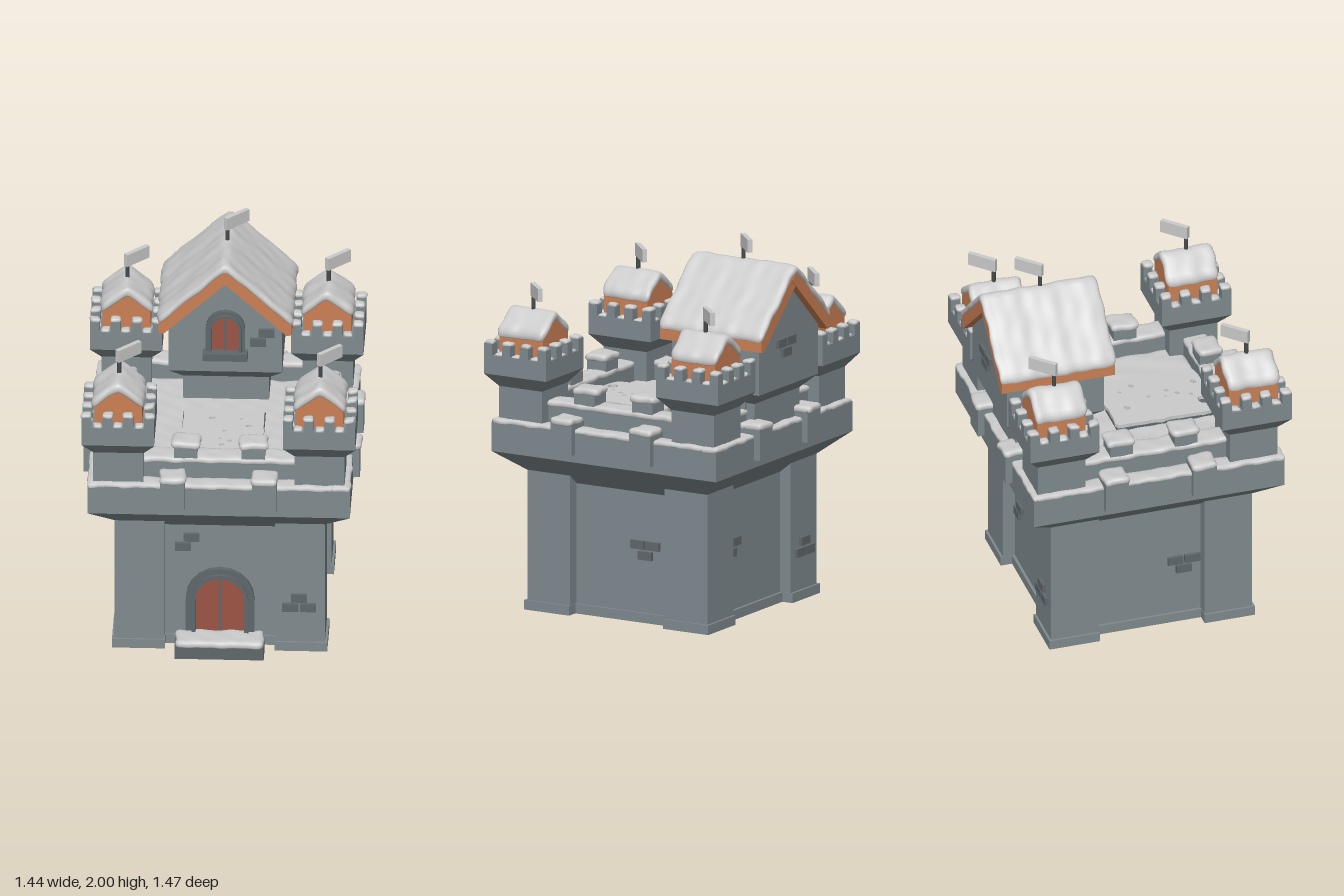
import * as THREE from 'three';
import { mergeVertices } from 'three/addons/utils/BufferGeometryUtils.js';

const mat = (color) => new THREE.MeshStandardMaterial({ color });
const SNOW = mat(0xcccccc);
const STONE = mat(0x7f8a8e);
const DARK = mat(0x60686c);
const WOOD = mat(0xcc8055);
const DOOR = mat(0x9c5544);
const POLE = mat(0x484c4e);

function add(parent, name, geo, material, x = 0, y = 0, z = 0) {
  const m = new THREE.Mesh(geo, material);
  m.name = name;
  m.position.set(x, y, z);
  parent.add(m);
  return m;
}

function group(parent, name, x = 0, y = 0, z = 0) {
  const g = new THREE.Group();
  g.name = name;
  g.position.set(x, y, z);
  parent.add(g);
  return g;
}

// Box given by its bottom and top heights
function block(parent, name, material, w, d, y0, y1, x = 0, z = 0) {
  return add(parent, name, new THREE.BoxGeometry(w, y1 - y0, d), material, x, (y0 + y1) / 2, z);
}

// Square corbel: half sizes at the bottom and at the top
function corbel(parent, name, bx, bz, tx, tz, y0, y1) {
  const geo = new THREE.BoxGeometry(2, y1 - y0, 2);
  const p = geo.attributes.position;
  for (let i = 0; i < p.count; i++) {
    const top = p.getY(i) > 0;
    p.setX(i, p.getX(i) * (top ? tx : bx));
    p.setZ(i, p.getZ(i) * (top ? tz : bz));
  }
  geo.computeVertexNormals();
  return add(parent, name, geo, STONE, 0, (y0 + y1) / 2);
}

// Soft lumpy slab of snow; slope bends it over a ridge along z
let seed = 0;
function snow(parent, name, w, d, y0, y1, x = 0, z = 0, slope = 0) {
  const h = y1 - y0, half = [w / 2, h / 2, d / 2];
  const seg = (s) => Math.max(4, Math.ceil(s / 0.02));
  let geo = new THREE.BoxGeometry(w, h, d, seg(w), 3, seg(d));
  geo.deleteAttribute('uv');
  geo.deleteAttribute('normal');
  geo = mergeVertices(geo);
  const p = geo.attributes.position, v = new THREE.Vector3(), c = new THREE.Vector3();
  const r = Math.min(0.025, ...half);
  seed += 1.7;
  for (let i = 0; i < p.count; i++) {
    v.fromBufferAttribute(p, i);
    c.set(...v.toArray().map((n, k) => THREE.MathUtils.clamp(n, r - half[k], half[k] - r)));
    v.sub(c).setLength(r).add(c);
    const { x: a, z: b } = v;
    v.x += 0.003 * Math.sin(b * 31 + seed) + 0.002 * Math.sin(b * 67 + seed * 2);
    v.z += 0.003 * Math.sin(a * 33 + seed * 3) + 0.002 * Math.sin(a * 71 + seed);
    v.y += 0.0015 * (Math.sin(a * 37 + b * 17 + seed) + Math.sin(b * 53 - a * 41 + seed * 2));
    if (slope) v.y -= slope * (Math.hypot(a, 0.015) - 0.015);
    p.setXYZ(i, v.x, v.y, v.z);
  }
  geo.computeVertexNormals();
  return add(parent, name, geo, SNOW, x, (y0 + y1) / 2, z);
}

// Outline extruded along z and centred on it
function prism(parent, name, points, depth, material) {
  const shape = new THREE.Shape(points.map(([x, y]) => new THREE.Vector2(x, y)));
  const geo = new THREE.ExtrudeGeometry(shape, { depth, bevelEnabled: false });
  return add(parent, name, geo, material, 0, 0, -depth / 2);
}

// Arched opening: two stepped rims, door and a centre strip
function archway(parent, name, r, spring, thin, y, z) {
  const arch = (q, Type) => {
    const s = new Type();
    s.moveTo(-q, 0);
    s.lineTo(q, 0);
    s.lineTo(q, spring);
    s.absarc(0, spring, q, 0, Math.PI, false);
    s.lineTo(-q, 0);
    return s;
  };
  const g = group(parent, name, 0, y, z);
  const ext = (s, depth) => new THREE.ExtrudeGeometry(s, { depth, bevelEnabled: false, curveSegments: 5 });
  const inner = r - thin * 1.7;
  [[r, r - thin, 0.03], [r - thin, inner, 0.045]].forEach(([out, inn, depth], i) => {
    const s = arch(out, THREE.Shape);
    s.holes.push(arch(inn, THREE.Path));
    add(g, i ? 'innerRim' : 'outerRim', ext(s, depth), DARK);
  });
  add(g, 'doorLeaves', ext(arch(inner, THREE.Shape), 0.012), DOOR);
  block(g, 'doorStrip', DARK, 0.012, 0.008, 0, spring + inner, 0, 0.013);
}

// Raised bricks in a small cluster
function bricks(parent, x, y, z, list) {
  for (const [dx, dy] of list)
    add(parent, 'brick', new THREE.BoxGeometry(0.082, 0.044, 0.035), DARK, x + dx, y + dy, z);
}
const PAIR = [[0.022, 0.027], [-0.022, -0.027]];
const PYRAMID = [[0, 0.027], [-0.045, -0.027], [0.045, -0.027]];
const INVERTED = [[-0.045, 0.027], [0.045, 0.027], [0, -0.027]];

// Pole with a flag wrapped round its top
function flag(parent, y0, y1, z = 0) {
  const g = group(parent, 'flag', 0, 0, z);
  g.rotation.y = Math.PI / 4;
  add(g, 'flagPole', new THREE.CylinderGeometry(0.011, 0.011, y1 - y0 - 0.01, 8), POLE, 0, (y0 + y1 - 0.01) / 2);
  add(g, 'flagCloth', new THREE.BoxGeometry(0.155, 0.068, 0.025), SNOW, 0.064, y1 - 0.034);
}

function turret(parent, x, z) {
  const g = group(parent, 'cornerTurret', x, 0, z);
  block(g, 'turretShaft', STONE, 0.256, 0.256, 1.0, 1.21);
  corbel(g, 'turretCorbel', 0.128, 0.128, 0.185, 0.185, 1.2, 1.27);
  block(g, 'turretParapet', STONE, 0.37, 0.37, 1.27, 1.37);
  for (let k = 0; k < 4; k++) {
    const side = group(g, 'turretBattlement');
    side.rotation.y = k * Math.PI / 2;
    for (const m of [-0.16, -0.053, 0.053]) {
      block(side, 'turretMerlon', STONE, 0.05, 0.05, 1.36, 1.43, m, 0.16);
      snow(side, 'merlonSnow', 0.053, 0.053, 1.42, 1.445, m, 0.158);
      snow(side, 'gapSnow', 0.045, 0.05, 1.36, 1.382, m + 0.053, 0.155);
    }
  }
  prism(g, 'turretHut', [[-0.122, 1.36], [0.122, 1.36], [0.122, 1.465], [0, 1.565], [-0.122, 1.465]], 0.26, WOOD);
  snow(g, 'hutSnow', 0.268, 0.28, 1.545, 1.6, 0, 0, 0.82);
  flag(g, 1.56, 1.73);
}

export function createModel() {
  const root = new THREE.Group();
  root.name = 'snowyCastle';
  const castle = group(root, 'castle', -0.006, 0, 0.012);

  // Keep body, flaring out to the deck
  block(castle, 'keepWalls', STONE, 0.948, 0.948, 0.04, 0.72);
  block(castle, 'keepFloor', POLE, 0.94, 0.94, 0.03, 0.05);
  corbel(castle, 'keepCorbel', 0.474, 0.474, 0.67, 0.67, 0.7, 0.86);
  block(castle, 'deck', STONE, 1.34, 1.34, 0.86, 1.015);
  snow(castle, 'deckSnow', 0.94, 0.94, 1.0, 1.045);

  // Everything repeated on the four sides
  for (let k = 0; k < 4; k++) {
    const side = group(castle, 'wallSide');
    side.rotation.y = k * Math.PI / 2;
    block(side, 'cornerPillar', STONE, 0.255, 0.255, 0.045, 0.76, -0.41, 0.41);
    const square = (q) => [[-q, -q], [q, -q], [q, q], [-q, q]].map((c) => new THREE.Vector2(...c));
    const foot = new THREE.Shape(square(0.135));
    foot.holes.push(new THREE.Path(square(0.112).reverse()));
    add(side, 'pillarPlinth', new THREE.ExtrudeGeometry(foot, { depth: 0.05, bevelEnabled: false }),
      STONE, -0.415, 0.07, 0.415).rotation.x = Math.PI / 2;
    block(side, 'wallPlinth', STONE, 0.56, 0.03, 0.02, 0.07, 0, 0.474);
    snow(side, 'parapetSnow', 1.345, 0.1, 1.004, 1.034, 0, 0.622);
    block(side, 'innerWall', STONE, 0.8, 0.115, 1.0, 1.125, 0, 0.52);
    snow(side, 'innerWallSnow', 0.8, 0.13, 1.11, 1.145, 0, 0.52);
    for (const s of [-1, 1]) {
      block(side, 'outerMerlon', STONE, 0.125, 0.125, 0.9, 1.065, s * 0.235, 0.643);
      snow(side, 'outerMerlonSnow', 0.135, 0.135, 1.05, 1.09, s * 0.235, 0.647);
      block(side, 'innerMerlon', STONE, 0.12, 0.115, 1.1, 1.195, s * 0.173, 0.52);
      snow(side, 'innerMerlonSnow', 0.15, 0.13, 1.19, 1.23, s * 0.173, 0.52);
    }
    // Loose bricks standing proud of the wall
    if (k === 0) bricks(side, -0.168, 0.605, 0.474, PAIR);
    if (k === 1) bricks(side, 0.133, 0.398, 0.474, INVERTED);
    if (k === 2) bricks(side, -0.19, 0.4, 0.474, PAIR);
    if (k === 3) bricks(side, 0.19, 0.36, 0.474, INVERTED);
    if (k % 2 === 0) bricks(side, 0.406, 0.298, 0.538, PYRAMID);
  }
  for (const x of [-0.514, 0.514]) for (const z of [-0.514, 0.514]) turret(castle, x, z);

  // Gate and snowy doorstep
  archway(castle, 'gate', 0.175, 0.245, 0.03, 0.04, 0.47);
  block(castle, 'doorstep', DARK, 0.456, 0.12, 0, 0.07, 0, 0.562);
  snow(castle, 'doorstepSnow', 0.45, 0.16, 0.06, 0.1, 0, 0.55);
  snow(castle, 'drift', 0.42, 0.2, 0.005, 0.065, 0, 0.425);

  // Courtyard slab under patchy snow
  block(castle, 'courtyardSlab', DARK, 0.42, 0.54, 1.0, 1.058, 0, 0.19);
  const patch = new THREE.Shape();
  for (let i = 0; i < 80; i++) {
    const t = i / 80 * Math.PI * 2, c = Math.cos(t), s = Math.sin(t);
    const q = (1 + 0.012 * Math.sin(t * 9) + 0.01 * Math.sin(t * 17)) / Math.pow(c ** 20 + s ** 20, 1 / 20);
    patch[i ? 'lineTo' : 'moveTo'](0.207 * c * q, 0.268 * s * q);
  }
  for (const [x, y, r] of [[-0.06, 0.17, 0.018], [0.09, 0.165, 0.01], [0.13, 0.09, 0.016], [0.01, 0.035, 0.011], [-0.01, -0.05, 0.01],
    [0.04, -0.07, 0.013], [0, -0.115, 0.015], [-0.03, -0.18, 0.012], [0.08, -0.225, 0.018], [-0.1, -0.225, 0.035]])
    patch.holes.push(new THREE.Path().absellipse(x, y, r, r * 0.8, 0, Math.PI * 2, true, 0.4));
  add(castle, 'courtyardSnow', new THREE.ExtrudeGeometry(patch, { depth: 0.022, bevelEnabled: false, curveSegments: 6 }),
    SNOW, 0, 1.055, 0.19).rotation.x = -Math.PI / 2;

  // Great hall on the back of the deck
  const hall = group(castle, 'hall', 0, 0, -0.437);
  block(hall, 'hallBase', STONE, 0.44, 0.38, 1.0, 1.18);
  corbel(hall, 'hallCorbel', 0.22, 0.19, 0.29, 0.26, 1.175, 1.24);
  prism(hall, 'hallWalls', [[-0.29, 1.24], [0.29, 1.24], [0.29, 1.51], [0, 1.785], [-0.29, 1.51]], 0.52, STONE);
  prism(hall, 'hallRoof', [[0, 1.845], [-0.34, 1.54], [-0.34, 1.48], [-0.315, 1.475], [0, 1.765], [0.315, 1.475], [0.34, 1.48], [0.34, 1.54]], 0.605, WOOD);
  for (const s of [-1, 1])
    add(hall, 'ridgeEnd', new THREE.BoxGeometry(0.055, 0.055, 0.02), WOOD, 0, 1.8, s * 0.295).rotation.z = Math.PI / 4;
  snow(hall, 'hallRoofSnow', 0.695, 0.622, 1.825, 1.875, 0, 0, 0.92);
  flag(hall, 1.85, 2.0, 0.01);
  archway(hall, 'hallWindow', 0.1, 0.13, 0.018, 1.37, 0.255);
  block(hall, 'windowSill', DARK, 0.23, 0.07, 1.33, 1.37, 0, 0.285);
  bricks(hall, 0.188, 1.445, 0.26, PAIR);
  const back = group(hall, 'hallBack');
  back.rotation.y = Math.PI;
  bricks(back, -0.04, 1.45, 0.26, INVERTED);
  return root;
}
